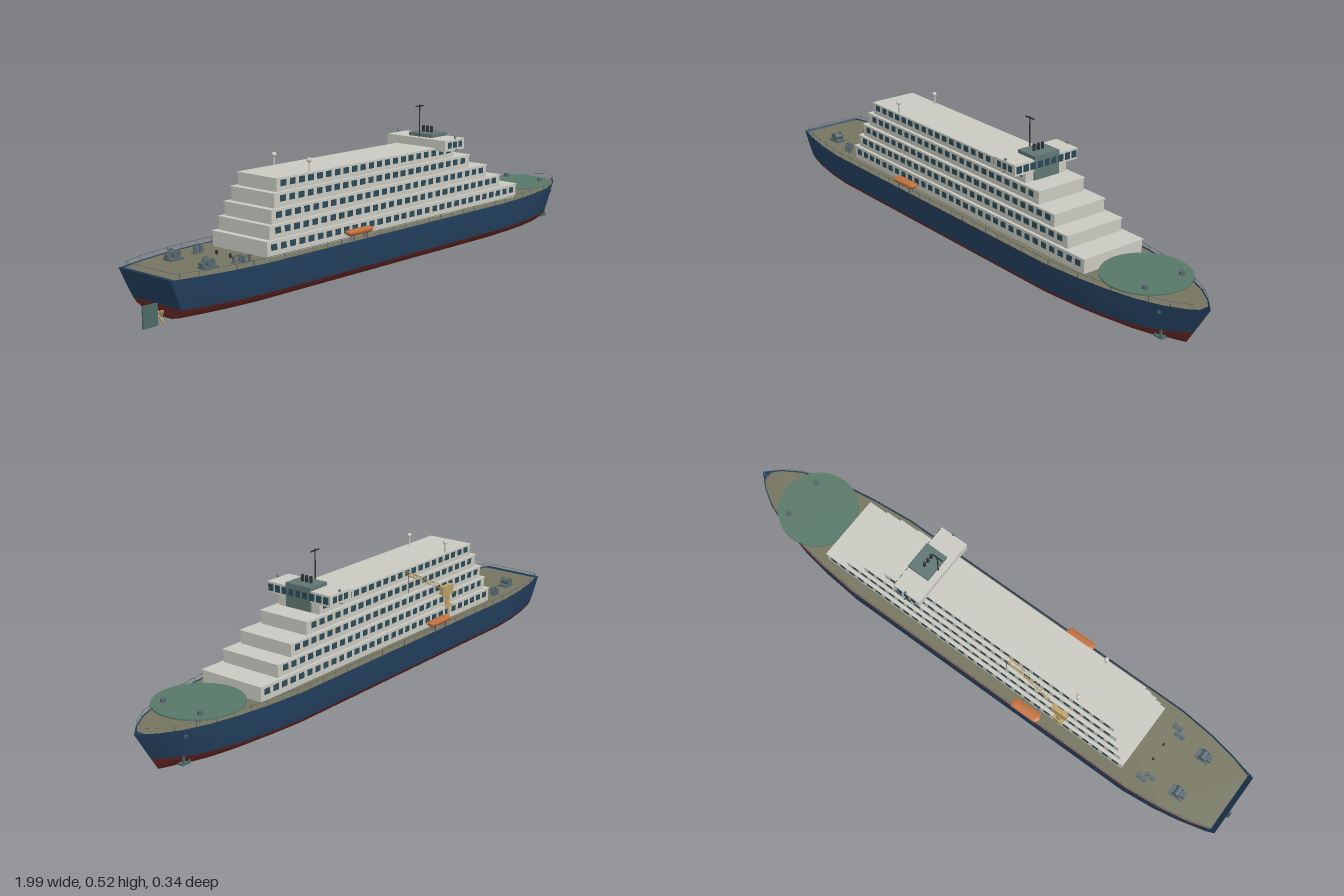
import * as THREE from 'three';
import { mergeGeometries } from 'three/addons/utils/BufferGeometryUtils.js';

const mat = (color) => new THREE.MeshStandardMaterial({ color, side: THREE.DoubleSide });
const M = {
  navy: mat(0x24405f), red: mat(0x6b2a28), deck: mat(0x74745f), white: mat(0xc9c9c1),
  glass: mat(0x2a4a58), teal: mat(0x5f7674), pad: mat(0x587868), dark: mat(0x2b3033),
  orange: mat(0xc0703c), yellow: mat(0xb8a068), steel: mat(0x56666e), rudder: mat(0x4c6a64),
};

// Deck outline [x, half width] from stern to bow, and hull section [y, width factor]
const OUTLINE = [[-0.99, 0.113], [-0.9, 0.135], [-0.8, 0.153], [-0.68, 0.165], [-0.3, 0.165], [0.1, 0.165],
  [0.46, 0.165], [0.6, 0.152], [0.7, 0.137], [0.8, 0.113], [0.88, 0.083], [0.94, 0.046], [0.99, 0.001]];
const LEVELS = [[0.157, 1], [0.125, 0.985], [0.095, 0.965], [0.064, 0.93], [0.05, 0.875],
  [0.032, 0.67], [0.023, 0.36], [0.022, 0]];
const DECK = 0.155;

const halfWidth = (x) => {
  const i = Math.max(1, OUTLINE.findIndex((p) => p[0] >= x));
  const [a, b] = [OUTLINE[i - 1], OUTLINE[i]];
  return THREE.MathUtils.mapLinear(x, a[0], b[0], a[1], b[1]);
};

const hullPoint = ([x, w], [y, f], side) => {
  const drop = (0.157 - y) / 0.135;
  return [x - Math.pow(x / 0.99, 3) * (x > 0 ? 0.084 : 0.06) * drop, y, side * w * f];
};

// Skin stretched over equal-length rows of points
function loft(rows, flip) {
  const n = rows[0].length, index = [];
  for (let i = 0; i < rows.length - 1; i++) for (let j = 0; j < n - 1; j++) {
    const a = i * n + j, b = a + 1, c = a + n, d = c + 1;
    if (flip) index.push(a, c, b, b, c, d);
    else index.push(a, b, c, b, d, c);
  }
  const g = new THREE.BufferGeometry();
  g.setAttribute('position', new THREE.Float32BufferAttribute(rows.flat(2), 3));
  g.setIndex(index);
  g.computeVertexNormals();
  return g;
}

const boxGeo = (w, h, d, x, y, z) => new THREE.BoxGeometry(w, h, d).translate(x, y, z);
const cylGeo = (r, h, x, y, z, n = 12) => new THREE.CylinderGeometry(r, r, h, n).translate(x, y, z);
function rodGeo(a, b, r) {
  const p = new THREE.Vector3(...a), q = new THREE.Vector3(...b), dir = q.clone().sub(p);
  const g = new THREE.CylinderGeometry(r, r, dir.length(), 6);
  g.applyQuaternion(new THREE.Quaternion().setFromUnitVectors(new THREE.Vector3(0, 1, 0), dir.normalize()));
  return g.translate(...p.add(q).multiplyScalar(0.5).toArray());
}

export function createModel() {
  const ship = new THREE.Group();
  ship.name = 'ship';
  const add = (name, material, ...geos) => {
    const mesh = new THREE.Mesh(geos.length > 1 ? mergeGeometries(geos) : geos[0], material);
    mesh.name = name;
    ship.add(mesh);
    return mesh;
  };
  const both = (fn) => [1, -1].flatMap(fn);

  // Hull: painted topsides and red underbody, each with its raked transom
  const hull = (name, material, levels) => {
    add(name, material, ...both((s) => loft(OUTLINE.map((p) => levels.map((l) => hullPoint(p, l, s))), s < 0)),
      loft(levels.map((l) => [-1, 1].map((s) => hullPoint(OUTLINE[0], l, s)))));
  };
  hull('topsides', M.navy, LEVELS.slice(0, 4));
  hull('underbody', M.red, LEVELS.slice(3));

  // Main deck, set just inside the hull edge
  const edge = [[-0.972, 0.113], ...OUTLINE.slice(1, -1), [0.965, 0.02]].map(([x, w]) => [x, w - 0.004]);
  const outline = [...edge, ...edge.slice().reverse().map(([x, w]) => [x, -w])];
  add('mainDeck', M.deck, new THREE.ShapeGeometry(new THREE.Shape(outline.map((p) => new THREE.Vector2(...p))))
    .rotateX(-Math.PI / 2).translate(0, DECK, 0));

  // Deck railing with posts
  const posts = [], rails = [];
  both((s) => {
    for (let x = -0.96; x < 0.96; x += 0.06) posts.push(cylGeo(0.001, 0.018, x, 0.164, s * (halfWidth(x) - 0.004), 5));
    for (let i = 0; i < edge.length - 1; i++) {
      rails.push(rodGeo([edge[i][0], 0.172, s * edge[i][1]], [edge[i + 1][0], 0.172, s * edge[i + 1][1]], 0.0008));
    }
    return [];
  });
  add('railing', M.steel, ...posts, ...rails, rodGeo([-0.972, 0.172, -0.109], [-0.972, 0.172, 0.109], 0.0008));

  // Stepped accommodation tiers: [rear x, front x, bottom, top, half width]
  const tiers = [[-0.63, 0.595, 0.155, 0.204, 0.118], [-0.612, 0.51, 0.204, 0.247, 0.11],
    [-0.595, 0.44, 0.247, 0.291, 0.102], [-0.575, 0.355, 0.291, 0.336, 0.092], [-0.555, 0.28, 0.336, 0.378, 0.083]];
  const windows = [];
  tiers.forEach(([a, b, y0, y1, w], i) => {
    const mid = (a + b) / 2;
    add('tier' + (i + 1), M.white, boxGeo(b - a, y1 - y0, w * 2, mid, (y0 + y1) / 2, 0),
      boxGeo(b - a + 0.006, 0.004, w * 2 + 0.006, mid, y1 - 0.002, 0));
    const n = Math.floor((b - a - 0.04) / 0.039);
    for (let k = 0; k <= n; k++) both((s) => {
      windows.push(boxGeo(0.023, 0.019, 0.003, mid + (k - n / 2) * 0.039, (y0 + y1) / 2 + 0.004, s * w));
      return [];
    });
  });
  add('cabinWindows', M.glass, ...windows);

  // Bridge with wings, wheelhouse block and windows
  add('bridge', M.white, boxGeo(0.102, 0.037, 0.254, 0.232, 0.387, 0));
  add('wheelhouse', M.teal, boxGeo(0.082, 0.079, 0.1, 0.244, 0.3775, 0));
  const panes = [];
  for (let k = -4; k <= 4; k++) panes.push(boxGeo(0.004, 0.022, 0.018, 0.285, 0.388, k * 0.028));
  both((s) => { for (const x of [0.205, 0.232, 0.26]) panes.push(boxGeo(0.018, 0.02, 0.003, x, 0.388, s * 0.127)); return []; });
  add('bridgeWindows', M.glass, ...panes);
  add('funnels', M.dark, ...[-0.017, 0, 0.017].map((z) => cylGeo(0.005, 0.022, 0.242, 0.427, z)));
  add('mast', M.dark, cylGeo(0.002, 0.115, 0.2, 0.458, 0, 8), boxGeo(0.04, 0.004, 0.004, 0.2, 0.51, 0));
  add('wingLights', M.pad, ...both((s) => [new THREE.SphereGeometry(0.0045, 12, 8).translate(0.235, 0.412, s * 0.126),
    cylGeo(0.001, 0.01, 0.235, 0.406, s * 0.126)]));
  add('wingArms', M.dark, ...both((s) => rodGeo([0.235, 0.372, s * 0.12], [0.235, 0.372, s * 0.139], 0.001)));
  add('radarDomes', M.white, ...both((s) => [new THREE.SphereGeometry(0.008, 16, 12).translate(-0.41, 0.413, s * 0.076),
    cylGeo(0.003, 0.03, -0.41, 0.391, s * 0.076)]));

  // Round landing pad on short legs over the foredeck
  add('landingPad', M.pad, new THREE.CylinderGeometry(0.14, 0.14, 0.005, 48).translate(0.735, 0.175, 0));
  add('padLegs', M.steel, ...both((s) => [0.65, 0.735, 0.81].map((x) => cylGeo(0.003, 0.02, x, 0.164, s * 0.075))));

  // Lifeboats with covers, hung on davits
  for (const s of [1, -1]) {
    const z = s * 0.153;
    const body = new THREE.CapsuleGeometry(0.017, 0.076, 6, 14).rotateZ(Math.PI / 2);
    const p = body.attributes.position;
    for (let i = 0; i < p.count; i++) p.setY(i, p.getY(i) * (p.getY(i) > 0 ? 0.3 : 0.9));
    body.computeVertexNormals();
    add('lifeboat', M.orange, body.translate(-0.27, 0.185, z), boxGeo(0.096, 0.003, 0.036, -0.27, 0.185, z));
    add('davits', M.steel, ...[-0.3, -0.24].flatMap((x) => [
      cylGeo(0.002, 0.028, x, 0.168, s * 0.145, 8), cylGeo(0.002, 0.028, x, 0.168, s * 0.157, 8),
      rodGeo([x, 0.172, s * 0.115], [x, 0.172, s * 0.16], 0.0015)]));
  }

  // Deck crane: pedestal, cab and lattice boom
  add('cranePedestal', M.yellow, cylGeo(0.01, 0.09, -0.375, 0.2, -0.112, 16), boxGeo(0.04, 0.005, 0.026, -0.375, 0.203, -0.112));
  add('craneCab', M.yellow, boxGeo(0.06, 0.034, 0.024, -0.372, 0.258, -0.108));
  const boom = [], N = 10;
  const node = (k, sy, sz) => [-0.36 + k / N * 0.205 - sy * 0.003, 0.268 + k / N * 0.1 + sy * 0.005, -0.097 + sz * 0.007];
  for (const sy of [-1, 1]) for (const sz of [-1, 1]) boom.push(rodGeo(node(0, sy, sz), node(N, sy, sz), 0.0014));
  for (let k = 0; k < N; k++) for (const s of [-1, 1]) {
    const t = k % 2 ? 1 : -1;
    boom.push(rodGeo(node(k, t, s), node(k + 1, -t, s), 0.0009), rodGeo(node(k, s, t), node(k + 1, s, -t), 0.0009));
  }
  add('craneBoom', M.yellow, ...boom);
  add('craneCable', M.dark, rodGeo([-0.155, 0.368, -0.105], [-0.155, 0.3, -0.105], 0.001));

  // Mooring winches and bollards on the deck
  const winch = (x, z) => add('winch', M.steel, boxGeo(0.05, 0.006, 0.036, x, 0.158, z),
    new THREE.CylinderGeometry(0.01, 0.01, 0.026, 14).rotateX(Math.PI / 2).translate(x, 0.172, z),
    ...[-1, 1].map((s) => new THREE.CylinderGeometry(0.014, 0.014, 0.003, 14).rotateX(Math.PI / 2).translate(x, 0.173, z + s * 0.014)),
    boxGeo(0.016, 0.014, 0.016, x - 0.022, 0.167, z));
  const bollards = (x, z, y = DECK) => add('bollards', M.steel, boxGeo(0.036, 0.003, 0.014, x, y + 0.001, z),
    ...[-0.011, 0.011].flatMap((d) => [cylGeo(0.005, 0.018, x + d, y + 0.009, z), cylGeo(0.007, 0.003, x + d, y + 0.019, z)]));
  for (const s of [1, -1]) {
    winch(-0.82, s * 0.075);
    bollards(-0.7, s * 0.105);
    bollards(-0.72, s * 0.085);
    add('capstan', M.steel, cylGeo(0.009, 0.012, 0.805, 0.182, s * 0.075), cylGeo(0.005, 0.03, 0.805, 0.171, s * 0.075));
    add('vent', M.dark, cylGeo(0.004, 0.012, -0.695, 0.161, s * 0.03));

    // Anchor, chain and hawse pipe at the bow
    add('hawsePipe', M.steel, new THREE.TorusGeometry(0.005, 0.002, 8, 14).rotateY(Math.PI / 2 - s * 0.5).translate(0.872, 0.133, s * 0.079),
      rodGeo([0.874, 0.133, s * 0.08], [0.874, 0.157, s * 0.083], 0.001));
    add('anchor', M.rudder, boxGeo(0.006, 0.034, 0.006, 0.862, 0.053, s * 0.059),
      boxGeo(0.03, 0.006, 0.02, 0.855, 0.038, s * 0.053), boxGeo(0.006, 0.014, 0.006, 0.842, 0.043, s * 0.062));
  }

  // Rudder and propeller under the stern
  add('rudder', M.rudder, boxGeo(0.052, 0.066, 0.007, -0.974, 0.033, 0));
  const blade = (k) => new THREE.SphereGeometry(1, 12, 8).scale(0.003, 0.014, 0.007).rotateY(0.5)
    .translate(0, 0.014, 0).rotateX(Math.PI / 4 + k * Math.PI / 2).translate(-0.942, 0.027, 0);
  add('propeller', M.yellow, ...[0, 1, 2, 3].map(blade),
    new THREE.CylinderGeometry(0.005, 0.005, 0.026, 12).rotateZ(Math.PI / 2).translate(-0.936, 0.027, 0));
  return ship;
}
